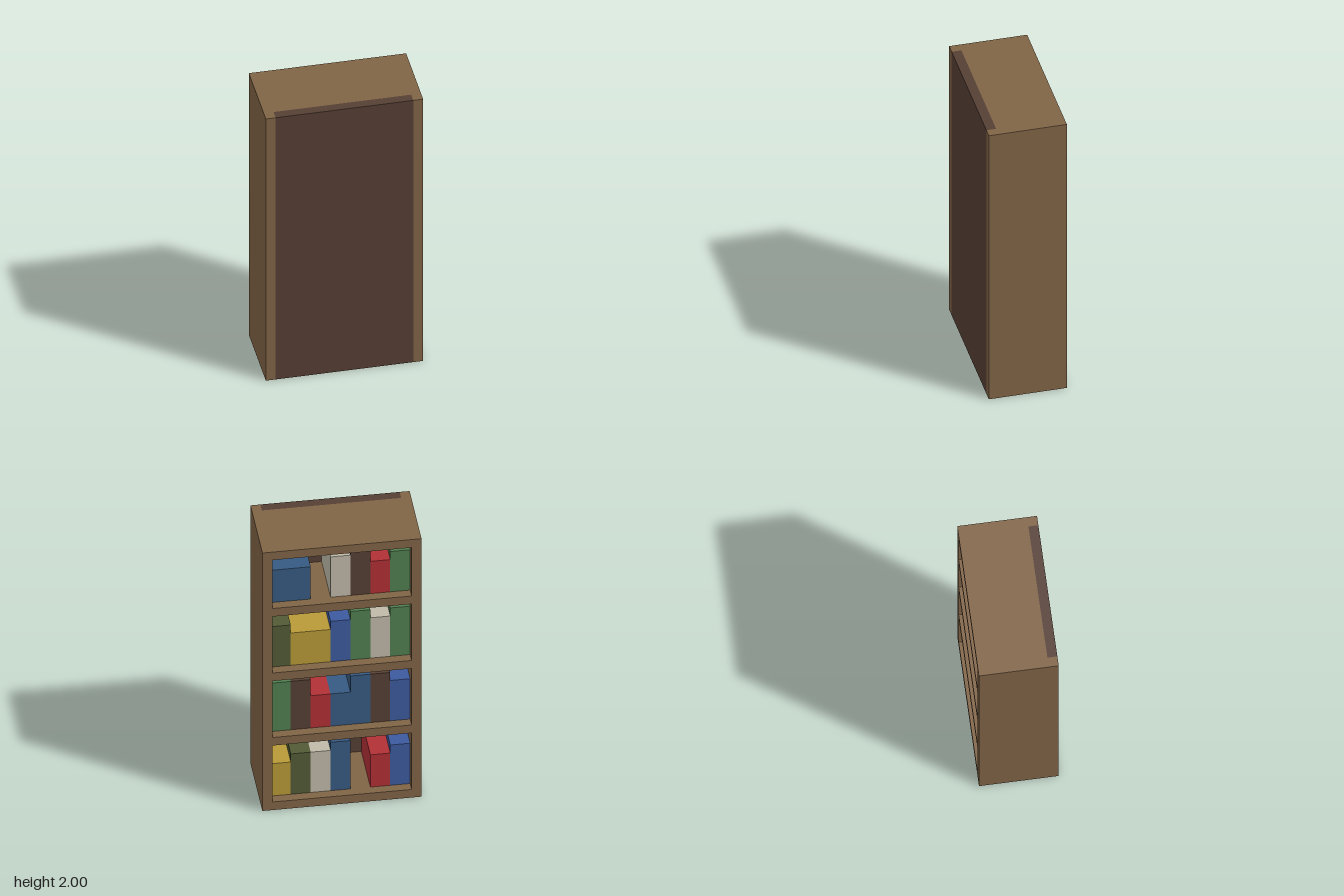
import * as THREE from 'three';

const COLORS = {
  wood: 0x806446, darkBrown: 0x563f34, yellow: 0xb89a38, olive: 0x515a35, cream: 0xbfb9a8,
  blue: 0x375a82, indigo: 0x3d5a9e, red: 0xb13035, green: 0x517f50,
};
const U = 1 / 16; // board thickness, the unit of the whole piece

// Books per shelf, from the model's left (+x): [colour, first slot, slots wide, height in units]
const ROWS = [
  [['yellow', 0, 1, 4], ['olive', 1, 1, 5], ['cream', 2, 1, 5], ['blue', 3, 1, 6],
    ['red', 5, 1, 4], ['indigo', 6, 1, 5]],
  [['green', 0, 1, 6], ['darkBrown', 1, 1, 6], ['red', 2, 1, 4], ['blue', 3, 1, 4],
    ['blue', 4, 1, 6], ['darkBrown', 5, 1, 6], ['indigo', 6, 1, 5]],
  [['olive', 0, 1, 5], ['yellow', 1, 2, 4], ['indigo', 3, 1, 5], ['green', 4, 1, 6],
    ['cream', 5, 1, 5], ['green', 6, 1, 6]],
  [['blue', 0, 2, 4], ['cream', 3, 1, 5], ['darkBrown', 4, 1, 6], ['red', 5, 1, 4],
    ['green', 6, 1, 5]],
];

export function createModel() {
  const model = new THREE.Group();
  model.name = 'bookcase';

  const materials = {};
  for (const [name, color] of Object.entries(COLORS)) {
    materials[name] = new THREE.MeshStandardMaterial({ color });
    materials[name].name = name;
  }

  // Box between two corners, given in units
  function box(name, color, x0, x1, y0, y1, z0, z1, parent = model) {
    const geometry = new THREE.BoxGeometry((x1 - x0) * U, (y1 - y0) * U, (z1 - z0) * U);
    const mesh = new THREE.Mesh(geometry, materials[color]);
    mesh.position.set((x0 + x1) * U / 2, (y0 + y1) * U / 2, (z0 + z1) * U / 2);
    mesh.name = name;
    parent.add(mesh);
  }

  // Case: two sides and the closing panel, open towards -z
  box('leftSide', 'wood', 7, 8, 0, 32, -4, 4);
  box('rightSide', 'wood', -8, -7, 0, 32, -4, 4);
  box('panel', 'darkBrown', -7, 7, 0, 32, 3, 4);

  // Bottom, three shelves and top
  [0, 8, 16, 24, 31].forEach((y, i) => {
    const name = i === 0 ? 'bottomBoard' : i === 4 ? 'topBoard' : 'shelf' + i;
    box(name, 'wood', -7, 7, y, y + 1, -4, 3);
  });

  // Books, two units per slot, set back one unit from the opening
  ROWS.forEach((row, i) => {
    const books = new THREE.Group();
    books.name = 'bookRow' + (i + 1);
    model.add(books);
    const base = i * 8 + 1;
    for (const [color, slot, width, height] of row) {
      const left = 7 - slot * 2;
      box('book', color, left - width * 2, left, base, base + height, -3, 3, books);
    }
  });

  return model;
}
